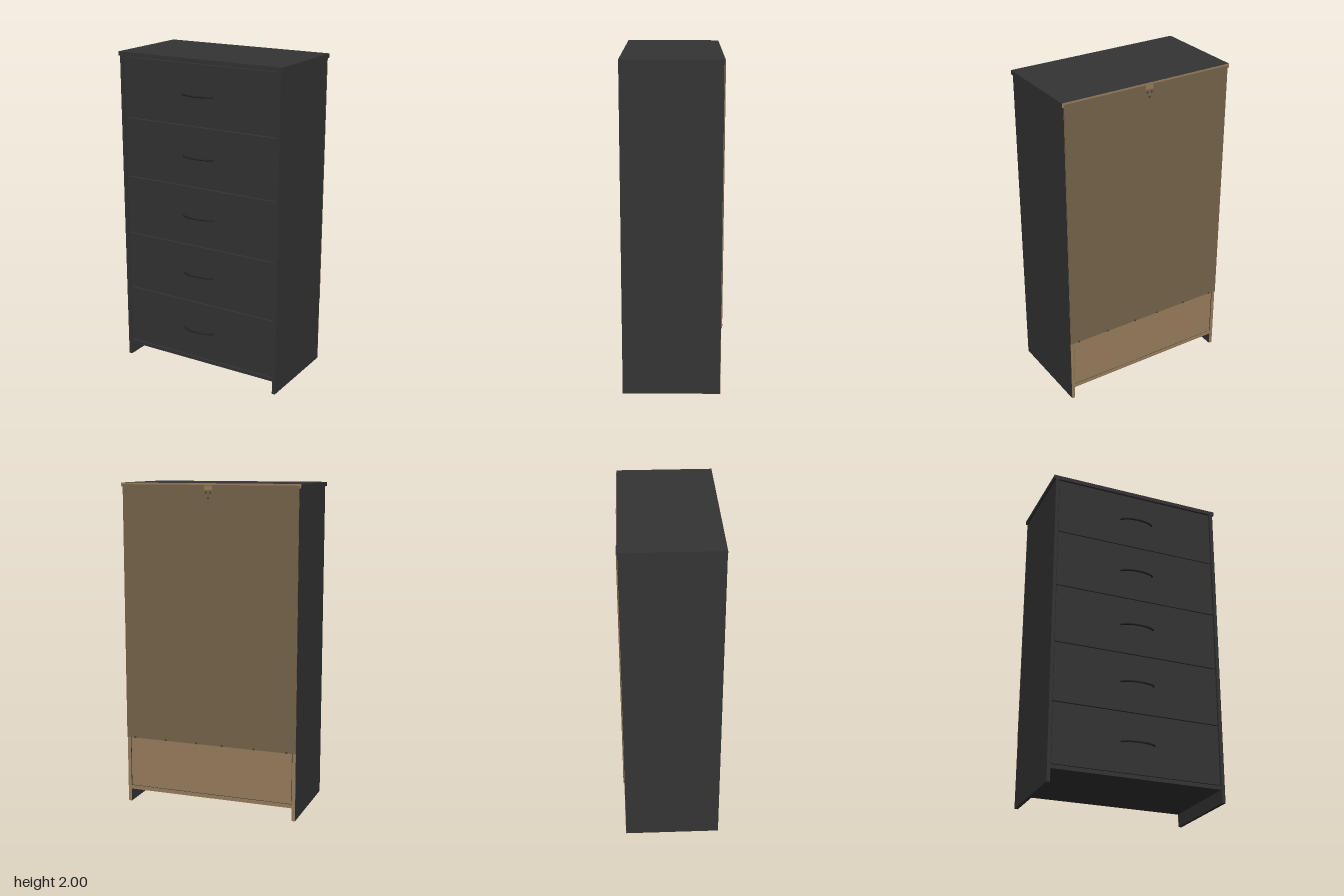
import * as THREE from 'three';

export function createModel() {
  const model = new THREE.Group();
  model.name = 'chestOfDrawers';
  const mat = (name, color) => {
    const m = new THREE.MeshStandardMaterial({ color });
    m.name = name;
    return m;
  };
  const black = mat('blackBrown', 0x343434);
  const handleBlack = mat('handleBlack', 0x262626);
  const board = mat('backBoard', 0x75634a);
  const wood = mat('rawWood', 0x977d5c);
  const metal = mat('darkScrew', 0x3f3a33);

  // Box given by its minimum and maximum on each axis
  const box = (name, m, x0, x1, y0, y1, z0, z1, parent = model) => {
    const mesh = new THREE.Mesh(new THREE.BoxGeometry(x1 - x0, y1 - y0, z1 - z0), m);
    mesh.position.set((x0 + x1) / 2, (y0 + y1) / 2, (z0 + z1) / 2);
    mesh.name = name;
    parent.add(mesh);
    return mesh;
  };

  // Carcass: top, sides and bottom, with unpainted rear edges
  box('top', black, -0.56, 0.56, 1.975, 2, -0.309, 0.28);
  box('topRearEdge', wood, -0.56, 0.56, 1.975, 2, -0.311, -0.309);
  for (const s of [-1, 1]) {
    const a = s < 0 ? -0.549 : 0.528, b = a + 0.021;
    box('sidePanel', black, a, b, 0, 1.975, -0.305, 0.28);
    box('sideRearEdge', wood, a, b, 0, 1.975, -0.307, -0.305);
  }
  box('bottomPanel', black, -0.528, 0.528, 0.08, 0.103, -0.305, 0.275);
  box('bottomRearEdge', wood, -0.528, 0.528, 0.08, 0.103, -0.307, -0.305);

  // Back: thin upper board over the sides, set-in lower board
  box('upperBackBoard', board, -0.549, 0.549, 0.42, 1.99, -0.312, -0.307);
  box('lowerBackBoard', wood, -0.524, 0.524, 0.106, 0.43, -0.305, -0.299);

  // Five drawers with bowed handles
  const bow = new THREE.CatmullRomCurve3([
    [-0.107, 0.266], [-0.1, 0.279], [-0.075, 0.294], [-0.04, 0.303], [0, 0.306],
    [0.04, 0.303], [0.075, 0.294], [0.1, 0.279], [0.107, 0.266],
  ].map(([x, z]) => new THREE.Vector3(x, 0, z)));
  const bowGeometry = new THREE.TubeGeometry(bow, 32, 0.0065, 10);
  const pitch = 0.3735;
  for (let i = 0; i < 5; i++) {
    const y = 0.108 + i * pitch;
    const drawer = new THREE.Group();
    drawer.name = 'drawer';
    box('drawerFront', black, -0.523, 0.523, y, y + pitch - 0.006, 0.245, 0.272, drawer);
    box('drawerBox', black, -0.515, 0.515, y + 0.015, y + 0.3, -0.28, 0.245, drawer);
    const handle = new THREE.Mesh(bowGeometry, handleBlack);
    handle.name = 'handle';
    handle.position.y = y + 0.185;
    drawer.add(handle);
    model.add(drawer);
  }

  // Nails along the foot of the upper board
  const head = new THREE.CylinderGeometry(0.006, 0.006, 0.006, 12).rotateX(Math.PI / 2);
  const screw = (name, x, y, z) => {
    const mesh = new THREE.Mesh(head, metal);
    mesh.name = name;
    mesh.position.set(x, y, z);
    model.add(mesh);
  };
  for (const x of [0.083, 0.288, 0.493])
    for (const s of [-1, 1]) screw('nail', s * x, 0.424, -0.312);

  // Wall fixing bracket at the top of the back
  box('wallBracket', wood, -0.025, 0.025, 1.962, 1.988, -0.3135, -0.312);
  for (const [x, y] of [[-0.014, 1.945], [0.014, 1.945], [0, 1.915]])
    screw('bracketScrew', x, y, -0.3105);

  return model;
}
